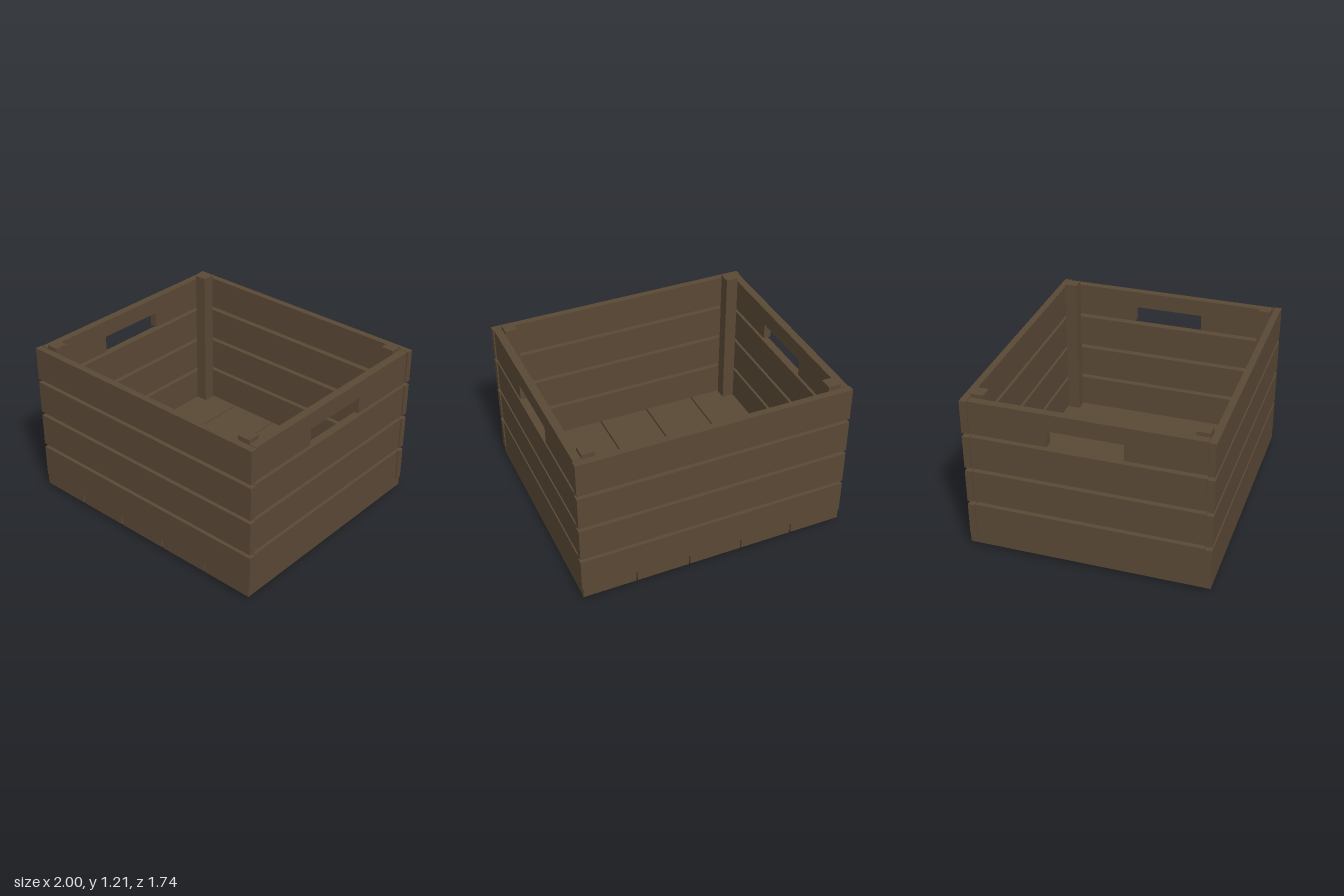
import * as THREE from 'three';

export function createModel() {
  const crate = new THREE.Group();
  crate.name = 'crate';
  const wood = new THREE.MeshStandardMaterial({ color: 0x5a4835 });
  wood.name = 'dark brown wood';

  // Box given by its minimum and maximum corners
  function board(name, [x0, y0, z0], [x1, y1, z1]) {
    const mesh = new THREE.Mesh(new THREE.BoxGeometry(x1 - x0, y1 - y0, z1 - z0), wood);
    mesh.position.set((x0 + x1) / 2, (y0 + y1) / 2, (z0 + z1) / 2);
    mesh.name = name;
    crate.add(mesh);
  }

  const slatHeight = 0.248, slatPitch = 0.276, slatBase = 0.102;
  const sideInner = 0.934, sideOuter = 0.992, sideHalf = 0.816;

  // Floor boards
  for (let i = -2; i <= 2; i++) {
    const x = i * 0.399;
    board('floorBoard', [x - 0.194, 0.027, -0.87], [x + 0.194, slatBase, 0.87]);
  }

  // Front and back slats, plain side slats
  for (let row = 0; row < 4; row++) {
    const y0 = slatBase + row * slatPitch, y1 = y0 + slatHeight;
    board('frontSlat', [-1, y0, 0.821], [1, y1, 0.87]);
    board('backSlat', [-1, y0, -0.87], [1, y1, -0.821]);
    if (row < 3) {
      board('leftSlat', [sideInner, y0, -sideHalf], [sideOuter, y1, sideHalf]);
      board('rightSlat', [-sideOuter, y0, -sideHalf], [-sideInner, y1, sideHalf]);
    }
  }

  // Top side slats with a hand hole cut into the lower edge
  const y0 = slatBase + 3 * slatPitch, y1 = y0 + slatHeight;
  const outline = new THREE.Shape([
    [-sideHalf, y0], [-0.264, y0], [-0.264, 1.052], [0.264, 1.052],
    [0.264, y0], [sideHalf, y0], [sideHalf, y1], [-sideHalf, y1],
  ].map(([x, y]) => new THREE.Vector2(x, y)));
  const handle = new THREE.ExtrudeGeometry(outline, { depth: sideOuter - sideInner, bevelEnabled: false });
  handle.rotateY(Math.PI / 2);
  for (const [name, x] of [['leftHandleSlat', sideInner], ['rightHandleSlat', -sideOuter]]) {
    const mesh = new THREE.Mesh(handle, wood);
    mesh.position.x = x;
    mesh.name = name;
    crate.add(mesh);
  }

  // Corner posts, passing through the floor as short feet
  for (const sx of [-1, 1]) for (const sz of [-1, 1]) {
    const x = sx * 0.888, z = sz * 0.768, h = 0.046;
    board('cornerPost', [x - h, 0, z - h], [x + h, 1.206, z + h]);
  }
  return crate;
}
